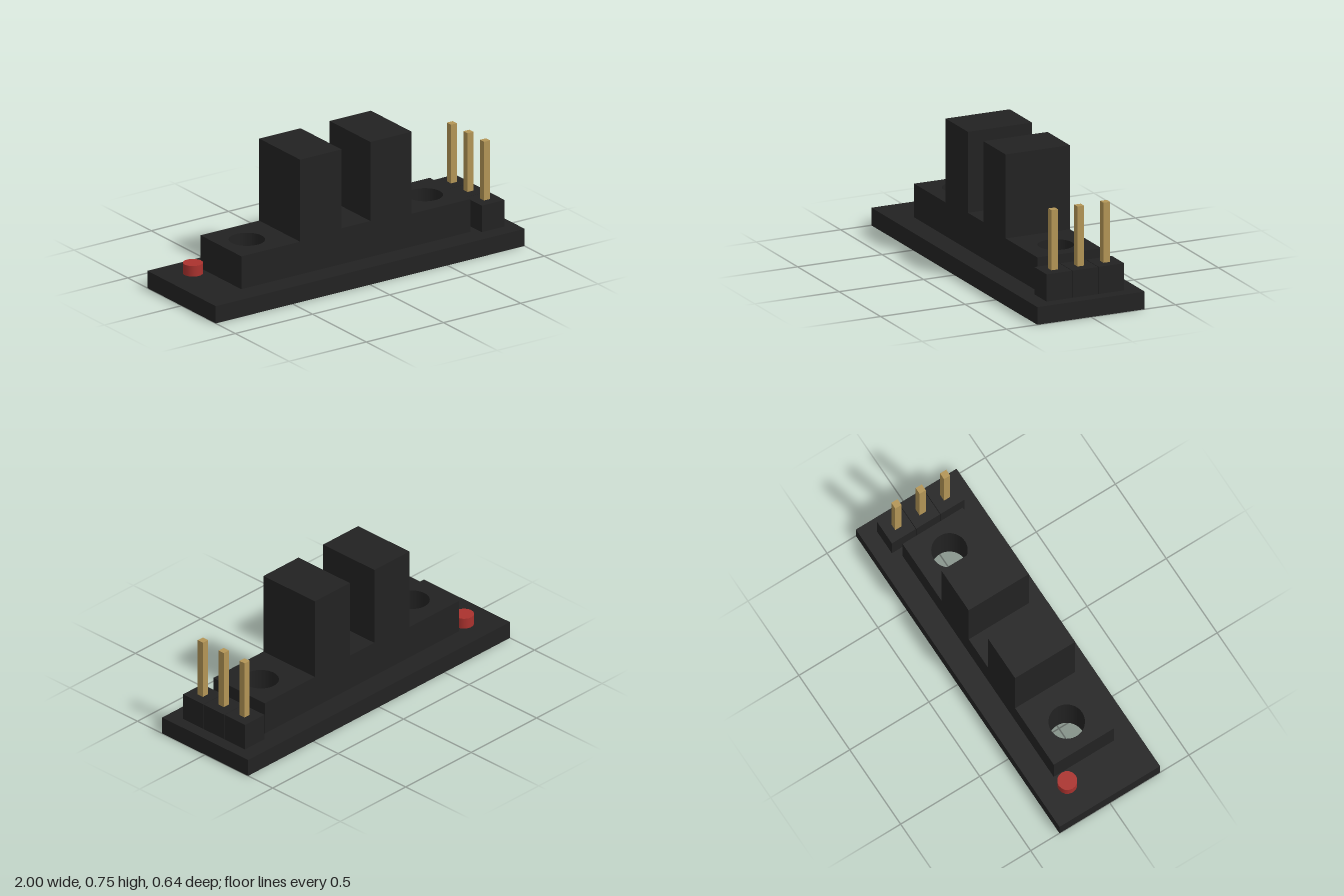
import * as THREE from 'three';

const black = new THREE.MeshStandardMaterial({ color: 0x222222, name: 'black plastic' });
const gold = new THREE.MeshStandardMaterial({ color: 0xb39556, name: 'gold metal' });
const red = new THREE.MeshStandardMaterial({ color: 0xaa322e, name: 'red lens' });

const HOLE_X = [-0.577, 0.575];
const HOLE_R = 0.097;

export function createModel() {
  const model = new THREE.Group();
  model.name = 'slottedSensorModule';

  const add = (name, geometry, material) => {
    const mesh = new THREE.Mesh(geometry, material);
    mesh.name = name;
    model.add(mesh);
    return mesh;
  };

  // Box given by its extents on each axis
  const box = (name, material, [x0, x1], [y0, y1], [z0, z1]) =>
    add(name, new THREE.BoxGeometry(x1 - x0, y1 - y0, z1 - z0), material)
      .position.set((x0 + x1) / 2, (y0 + y1) / 2, (z0 + z1) / 2);

  // Flat plate with the two mounting holes drilled through
  const drilledPlate = (name, x0, x1, halfZ, y0, y1) => {
    const shape = new THREE.Shape([
      new THREE.Vector2(x0, -halfZ), new THREE.Vector2(x1, -halfZ),
      new THREE.Vector2(x1, halfZ), new THREE.Vector2(x0, halfZ),
    ]);
    for (const x of HOLE_X) {
      shape.holes.push(new THREE.Path().absarc(x, 0, HOLE_R, 0, Math.PI * 2, true));
    }
    const geometry = new THREE.ExtrudeGeometry(shape, {
      depth: y1 - y0, bevelEnabled: false, curveSegments: 32,
    });
    geometry.rotateX(-Math.PI / 2);
    add(name, geometry, black).position.y = y0;
  };

  // Circuit board and sensor base
  drilledPlate('circuitBoard', -1, 1, 0.318, 0, 0.098);
  drilledPlate('sensorBase', -0.745, 0.74, 0.19, 0.098, 0.285);

  // Two sensor towers and the raised floor of the slot between them
  box('towerRight', black, [-0.365, -0.097], [0.285, 0.752], [-0.19, 0.19]);
  box('towerLeft', black, [0.091, 0.358], [0.285, 0.752], [-0.19, 0.19]);
  box('slotFloor', black, [-0.097, 0.091], [0.285, 0.302], [-0.19, 0.19]);

  // Three-pin header
  for (const z of [-0.154, 0, 0.154]) {
    box('headerBlock', black, [0.784, 0.932], [0.098, 0.249], [z - 0.0755, z + 0.0755]);
    box('headerPin', gold, [0.838, 0.877], [0.249, 0.583], [z - 0.0195, z + 0.0195]);
  }

  // Indicator light
  add('indicatorLight', new THREE.CylinderGeometry(0.054, 0.054, 0.06, 16), red)
    .position.set(-0.82, 0.128, -0.153);

  return model;
}
